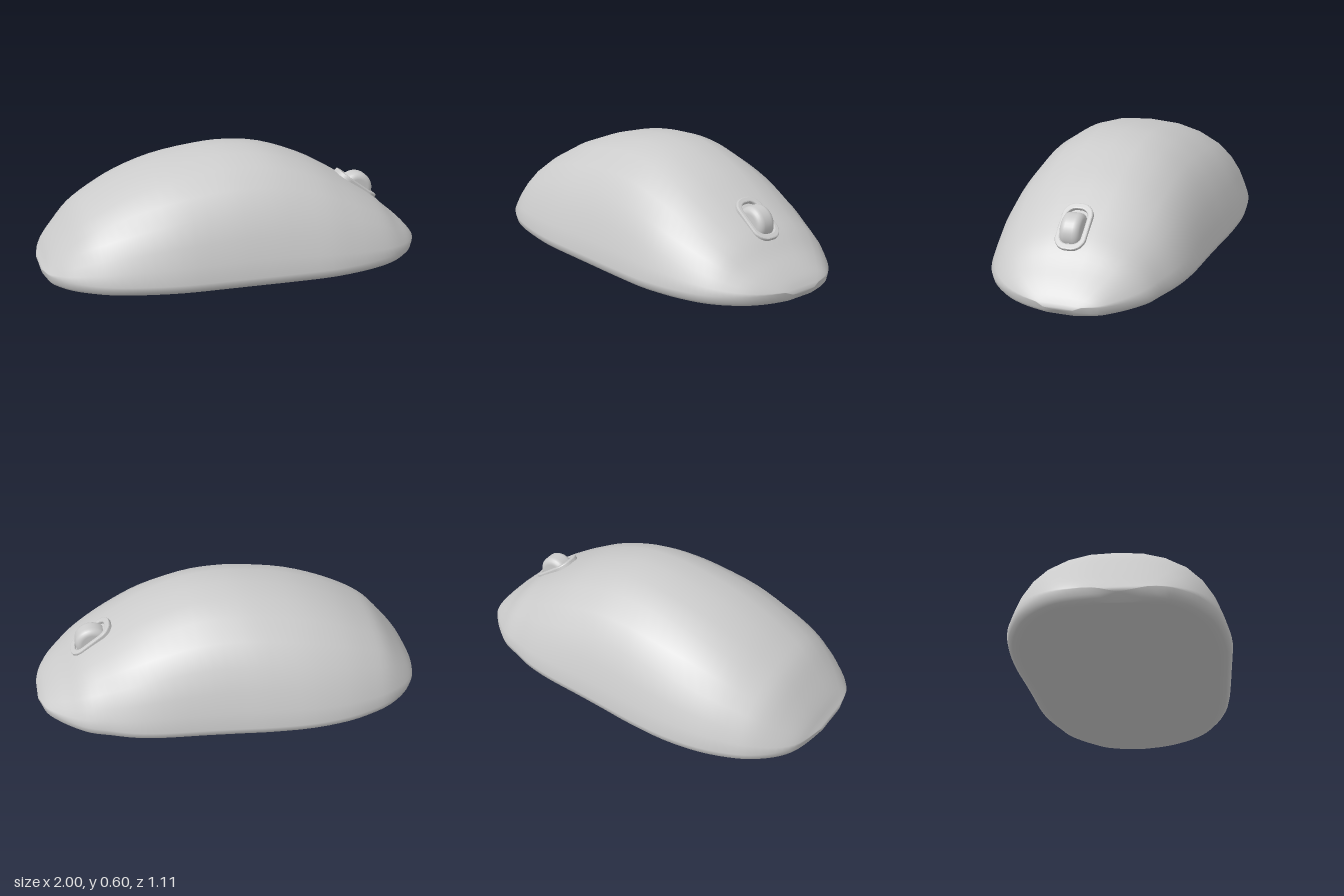
import * as THREE from 'three';

const material = new THREE.MeshStandardMaterial({ color: 0xcccccc });

// Stations along the length: x, crown height, back edge z, front edge z
const STATIONS = [
  [-1, 0.06, -0.06, 0.12], [-0.98, 0.09, -0.18, 0.23], [-0.95, 0.14, -0.28, 0.29],
  [-0.89, 0.22, -0.365, 0.365], [-0.8, 0.325, -0.44, 0.43], [-0.7, 0.395, -0.49, 0.48],
  [-0.55, 0.475, -0.535, 0.52], [-0.36, 0.545, -0.555, 0.547], [-0.15, 0.588, -0.545, 0.55],
  [0.02, 0.6, -0.525, 0.55], [0.2, 0.58, -0.505, 0.55], [0.4, 0.51, -0.485, 0.545],
  [0.55, 0.43, -0.455, 0.52], [0.67, 0.355, -0.41, 0.485], [0.77, 0.285, -0.37, 0.44],
  [0.85, 0.21, -0.31, 0.38], [0.92, 0.15, -0.24, 0.3], [0.97, 0.1, -0.17, 0.2],
  [1, 0.055, -0.06, 0.09],
];

// Half of the domed section: fraction of half width, fraction of height
const DOME = [[1, 0], [0.96, 0.16], [0.9, 0.36], [0.8, 0.575], [0.66, 0.76],
  [0.46, 0.905], [0.25, 0.98], [0, 1]];
// Half of the underside: width fraction, length fraction, y
const UNDER = [[0, 0.96, 0.004], [0.5, 0.96, 0.004], [0.88, 0.965, 0.007], [0.95, 0.982, 0.018], [0.985, 0.993, 0.035]];

const mirrored = (half, keepLast) => [
  ...half,
  ...half.slice(keepLast ? 0 : 1, keepLast ? -1 : undefined).reverse().map(([w, ...r]) => [-w, ...r]),
];

function bodyGeometry() {
  const curve = (f) => new THREE.CatmullRomCurve3(STATIONS.map(f), false, 'catmullrom', 0.5);
  const crown = curve(([x, h]) => new THREE.Vector3(x, h, 0));
  const edges = curve(([x, , b, f]) => new THREE.Vector3(x, b, f));
  const dome = mirrored(DOME, true);
  // Underside runs from the back edge to the front edge
  const under = [
    ...UNDER.slice(1).reverse().map(([w, l, y]) => [-w, l, y]),
    ...UNDER,
  ];
  const n = dome.length + under.length;
  const steps = (STATIONS.length - 1) * 3;
  const pos = [], index = [];
  for (let i = 0; i <= steps; i++) {
    const { x, y: h } = crown.getPoint(i / steps);
    const { y: back, z: front } = edges.getPoint(i / steps);
    const mid = (back + front) / 2, half = (front - back) / 2;
    const rim = Math.min(0.068, h - 0.004);
    for (const [w, t] of dome) pos.push(x, rim + (h - rim) * t, mid + half * w);
    for (const [w, l, y] of under) pos.push(x * l, y, mid + half * w);
  }
  for (let i = 0; i < steps; i++) {
    for (let j = 0; j < n; j++) {
      const a = i * n + j, b = i * n + (j + 1) % n;
      index.push(a, a + n, b, b, a + n, b + n);
    }
  }
  // Close the two blunt ends
  for (const [row, sign] of [[0, -1], [steps, 1]]) {
    const centre = pos.length / 3;
    pos.push(sign * 0.995, 0.04, 0.02);
    for (let j = 0; j < n; j++) {
      const a = row * n + j, b = row * n + (j + 1) % n;
      index.push(centre, ...(sign > 0 ? [b, a] : [a, b]));
    }
  }
  const g = new THREE.BufferGeometry();
  g.setAttribute('position', new THREE.Float32BufferAttribute(pos, 3));
  g.setIndex(index);
  g.computeVertexNormals();
  return g;
}

// Rounded rectangle outline, centred on the origin
function roundedRect(path, w, h, r) {
  const x = w / 2 - r, y = h / 2 - r;
  path.absarc(x, y, r, 0, Math.PI / 2);
  path.absarc(-x, y, r, Math.PI / 2, Math.PI);
  path.absarc(-x, -y, r, Math.PI, Math.PI * 1.5);
  path.absarc(x, -y, r, Math.PI * 1.5, Math.PI * 2);
  path.closePath();
  return path;
}

function add(parent, name, geometry) {
  const mesh = new THREE.Mesh(geometry, material);
  mesh.name = name;
  parent.add(mesh);
  return mesh;
}

export function createModel() {
  const model = new THREE.Group();
  model.name = 'computerMouse';

  add(model, 'body', bodyGeometry());

  // Raised lip around the wheel slot, lying along the slope of the nose
  const outline = roundedRect(new THREE.Shape(), 0.246, 0.141, 0.06);
  outline.holes.push(roundedRect(new THREE.Path(), 0.21, 0.118, 0.05));
  const lip = add(model, 'wheelLip', new THREE.ExtrudeGeometry(outline, {
    depth: 0.04, bevelThickness: 0.006, bevelSize: 0.007, bevelSegments: 2, curveSegments: 8,
  }).translate(0, 0, -0.04).rotateX(-Math.PI / 2));
  lip.position.set(0.703, 0.341, 0.037);
  lip.rotation.z = -0.635;

  // Scroll wheel with rounded shoulders, axle along z
  const r = 0.088, hw = 0.052, c = 0.032;
  const profile = [new THREE.Vector2(0, -hw)];
  for (const [cy, start] of [[-hw + c, -Math.PI / 2], [hw - c, 0]]) {
    for (let i = 0; i <= 5; i++) {
      const a = start + (i / 5) * Math.PI / 2;
      profile.push(new THREE.Vector2(r - c + c * Math.cos(a), cy + c * Math.sin(a)));
    }
  }
  profile.push(new THREE.Vector2(0, hw));
  const wheel = add(model, 'scrollWheel', new THREE.LatheGeometry(profile, 32).rotateX(Math.PI / 2));
  wheel.position.set(0.694, 0.315, 0.04);

  return model;
}
